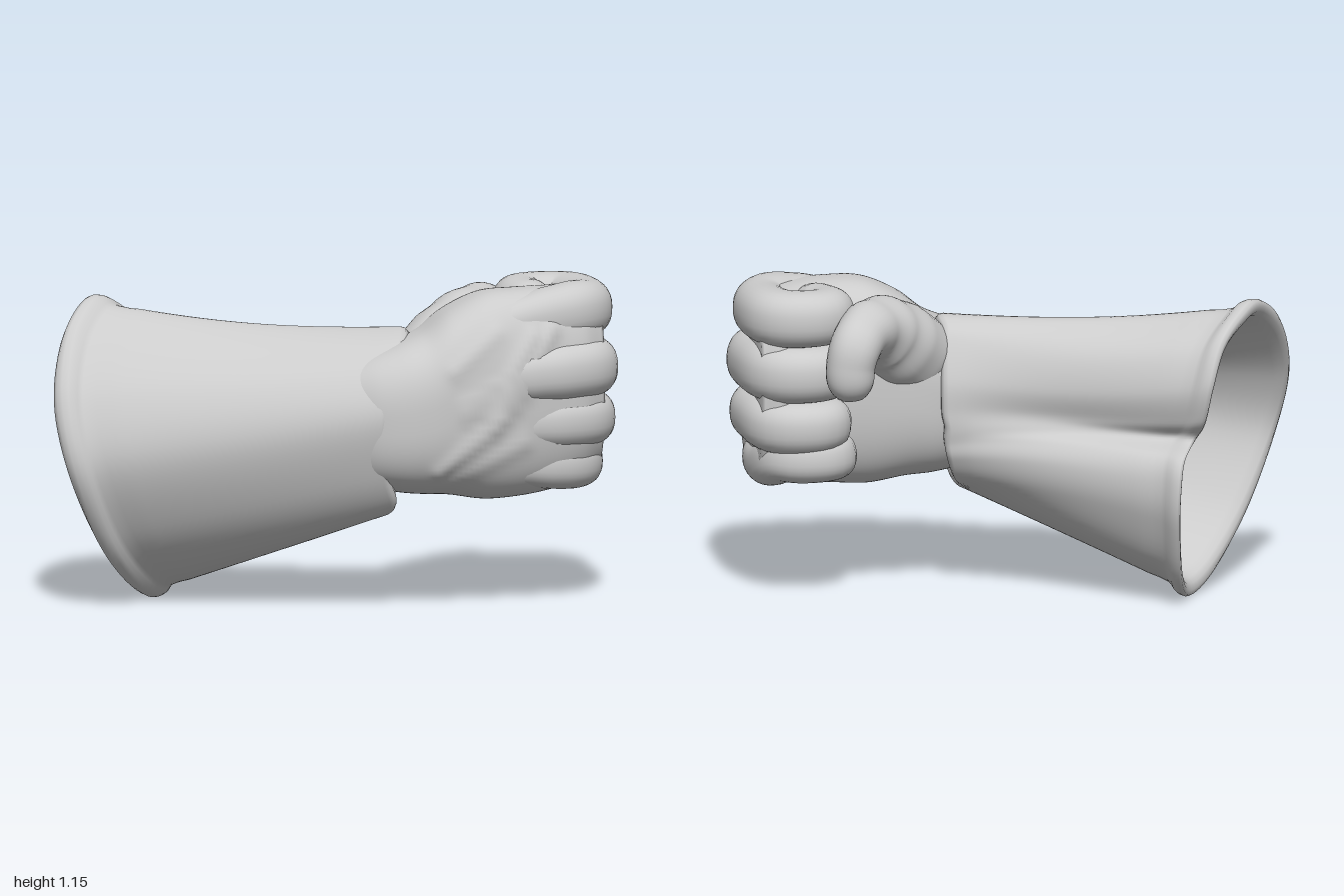
import * as THREE from 'three';

const V = (x, y, z) => new THREE.Vector3(x, y, z);
const material = new THREE.MeshStandardMaterial({ color: 0xcccccc });
const power = (v, e) => Math.sign(v) * Math.abs(v) ** e;

// Skin a list of equal-sized closed rings; faces are turned to point outwards.
function loft(name, rings) {
  const n = rings[0].length, index = [];
  const pts = rings.flat();
  for (let i = 0; i < rings.length - 1; i++) {
    for (let j = 0; j < n; j++) {
      const a = i * n + j, b = i * n + (j + 1) % n;
      index.push(a, b, a + n, b, b + n, a + n);
    }
  }
  let volume = 0;
  const c = V(0, 0, 0);
  for (let i = 0; i < index.length; i += 3) {
    c.crossVectors(pts[index[i]], pts[index[i + 1]]);
    volume += c.dot(pts[index[i + 2]]);
  }
  if (volume < 0) index.reverse();
  const geo = new THREE.BufferGeometry().setFromPoints(pts);
  geo.setIndex(index);
  geo.computeVertexNormals();
  const mesh = new THREE.Mesh(geo, material);
  mesh.name = name;
  return mesh;
}

// Tube with a varying radius, domed ends and a slightly squared section.
function limb(name, path, radii, square, steps = 64, sides = 32) {
  const curve = new THREE.CatmullRomCurve3(path.map(p => V(...p)), false, 'centripetal');
  const frames = curve.computeFrenetFrames(steps);
  const length = curve.getLength(), rings = [];
  for (let i = 0; i <= steps; i++) {
    const u = i / steps, f = u * (radii.length - 1);
    const k = Math.min(Math.floor(f), radii.length - 2);
    let r = THREE.MathUtils.lerp(radii[k], radii[k + 1], THREE.MathUtils.smoothstep(f - k, 0, 1));
    const d = Math.min(u, 1 - u) * length;
    if (d < r) r = Math.max(0.0005, Math.sqrt(r * r - (r - d) ** 2));
    const center = curve.getPointAt(u);
    rings.push(Array.from({ length: sides }, (_, j) => {
      const a = j / sides * Math.PI * 2;
      return center.clone()
        .addScaledVector(frames.normals[i], r * power(Math.cos(a), square))
        .addScaledVector(frames.binormals[i], r * power(Math.sin(a), square));
    }));
  }
  return loft(name, rings);
}

// Flared cuff: outer wall, rolled rim and inner wall in one skin.
function makeCuff() {
  const rim = [
    [-.84, 1.08, -.22], [-.945, .97, -.07], [-1, .76, .09], [-.965, .5, .165],
    [-.85, .23, .08], [-.71, .055, -.06], [-.59, -.005, -.2], [-.52, .09, -.37],
    [-.49, .3, -.475], [-.49, .45, -.5], [-.51, .555, -.47], [-.57, .61, -.37],
    [-.59, .69, -.435], [-.61, .83, -.47], [-.66, .97, -.425], [-.75, 1.055, -.33]];
  const wrist = [
    [.25, .99, .17], [.21, .945, .315], [.15, .84, .42], [.12, .7, .468],
    [.13, .5, .425], [.17, .385, .37], [.165, .345, .29], [.18, .37, .15],
    [.22, .42, .04], [.25, .5, -.01], [.26, .56, -.02], [.26, .61, -.03],
    [.27, .67, -.03], [.27, .78, -.02], [.26, .9, .03], [.25, .965, .08]];
  const sag = [.03, .02, 0, -.005, -.01, -.01, 0, .01, .03, .045, .06, .045, .085, .08, .06, .045];
  const closed = pts => new THREE.CatmullRomCurve3(pts, true, 'catmullrom', 0.5);
  const rimCurve = closed(rim.map(p => V(...p)));
  const wristCurve = closed(wrist.map(p => V(...p)));
  const sagCurve = closed(sag.map((s, i) => V(s, i * 1e-4, 0)));
  const rimCenter = V(-.72, .57, -.16), wristCenter = V(.22, .67, .23);
  const n = 112;
  const ring = ([t, inset]) => Array.from({ length: n }, (_, j) => {
    const u = j / n;
    const p = rimCurve.getPoint(u).lerp(wristCurve.getPoint(u), t);
    const c = rimCenter.clone().lerp(wristCenter, t);
    const inward = V(0, c.y - p.y, c.z - p.z).normalize();
    const fold = sagCurve.getPoint(u).x * Math.sin(Math.PI * t);
    return p.addScaledVector(inward, inset + fold);
  });
  const profile = [[1, .05]];
  for (let t = .95; t > .1; t -= .05) profile.push([t, .065]);
  profile.push([.05, .068], [.018, .064], [.002, .052], [-.004, .032], [.002, .012], [.016, .002],
    [.035, 0], [.052, .005], [.064, .018], [.08, .026], [.12, .026]);
  for (let t = .16; t < .96; t += .04) profile.push([t, .026 * (1 - t)]);
  // turned-in wrist edge
  profile.push([.98, 0], [.995, .004], [1.003, .018], [1, .05]);
  return loft('cuff', profile.map(ring));
}

// Palm and back of the hand, with cloth folds raised on the back.
function makePalm() {
  // x, yMin, yMax, zMin, zMax
  const stations = [
    [-.02, .48, .86, .08, .38], [.09, .44, .91, .05, .455], [.19, .42, .95, .03, .485],
    [.28, .41, .99, .0, .49], [.37, .405, 1.06, -.01, .485], [.5, .385, 1.12, 0, .468],
    [.62, .39, 1.13, .02, .445], [.74, .405, 1.13, 0, .41], [.86, .43, 1.12, -.08, .37],
    [.935, .48, 1.07, -.06, .31]];
  const low = new THREE.CatmullRomCurve3(stations.map(s => V(s[0], s[1], s[3])));
  const high = new THREE.CatmullRomCurve3(stations.map(s => V(s[0], s[2], s[4])));
  const folds = [
    [[.31, .5], [.5, .66], .016], [[.5, .66], [.62, .82], .022], [[.62, .82], [.73, 1.0], .018],
    [[.4, .72], [.56, .82], .014], [[.56, .82], [.66, .98], .018], [[.36, .87], [.52, 1.0], .01],
    [[.34, .46], [.62, .6], .01]];
  const foldHeight = (x, y) => Math.max(...folds.map(([a, b, h]) => {
    const dx = b[0] - a[0], dy = b[1] - a[1];
    const k = THREE.MathUtils.clamp(((x - a[0]) * dx + (y - a[1]) * dy) / (dx * dx + dy * dy), 0, 1);
    const d = Math.hypot(x - a[0] - k * dx, y - a[1] - k * dy);
    return h * Math.exp(-((d / .03) ** 2));
  }));
  const n = 88, steps = 64, rings = [];
  const ring = (u, size) => {
    const a = low.getPoint(u), b = high.getPoint(u);
    return Array.from({ length: n }, (_, j) => {
      const t = j / n * Math.PI * 2, s = power(Math.sin(t), .76), c = power(Math.cos(t), .76);
      const y = (a.y + b.y) / 2 + size * s * (b.y - a.y) / 2;
      const z = (a.z + b.z) / 2 + size * c * (b.z - a.z) / 2;
      return V(a.x, y, z + size * Math.max(0, c) * foldHeight(a.x, y));
    });
  };
  rings.push(ring(0, .001));
  for (let i = 0; i <= steps; i++) rings.push(ring(i / steps, 1));
  rings.push(ring(1, .6), ring(1, .001));
  return loft('palm', rings);
}

export function createModel() {
  const glove = new THREE.Group();
  glove.name = 'gauntletGlove';
  glove.add(makeCuff(), makePalm());

  // Curled fingers: name, base y, knuckle y, tip y, radius, front x, knuckle z, curl z
  const fingers = [
    ['indexFinger', .97, 1.045, 1.045, .104, .995, .22, -.035],
    ['middleFinger', .82, .845, .845, .105, 1.0, .29, -.04],
    ['ringFinger', .66, .66, .655, .097, .995, .265, -.05],
    ['littleFinger', .54, .5, .535, .088, .955, .24, -.035]];
  for (const [name, yBase, y, yTip, r, front, z, curl] of fingers) {
    const x = front - r;
    glove.add(limb(name, [
      [.42, yBase, .37], [x - .24, (yBase + 2 * y) / 3, z + .08], [x - .07, y, z + .03],
      [x - .01, y, z - .03], [x, y, .1], [x - .025, yTip, curl + .035],
      [x - .07, yTip, curl], [x - .17, yTip, curl], [x - .205, yTip, curl + .04],
      [x - .18, yTip, .1], [x - .1, yTip, .15]],
    [.05, r * .75, r * .9, r * .97, r, r * .96, r * .98, r * .97, r * .95, r * .9, r * .8], .86));
  }

  // Thumb folded down over the side of the index finger
  glove.add(limb('thumb', [
    [.26, .78, .2], [.4, .9, .09], [.5, .98, -.01], [.575, 1.0, -.11],
    [.625, .965, -.18], [.645, .89, -.19], [.635, .77, -.185]],
  [.1, .15, .15, .13, .105, .092, .087, .077], .9));
  return glove;
}
